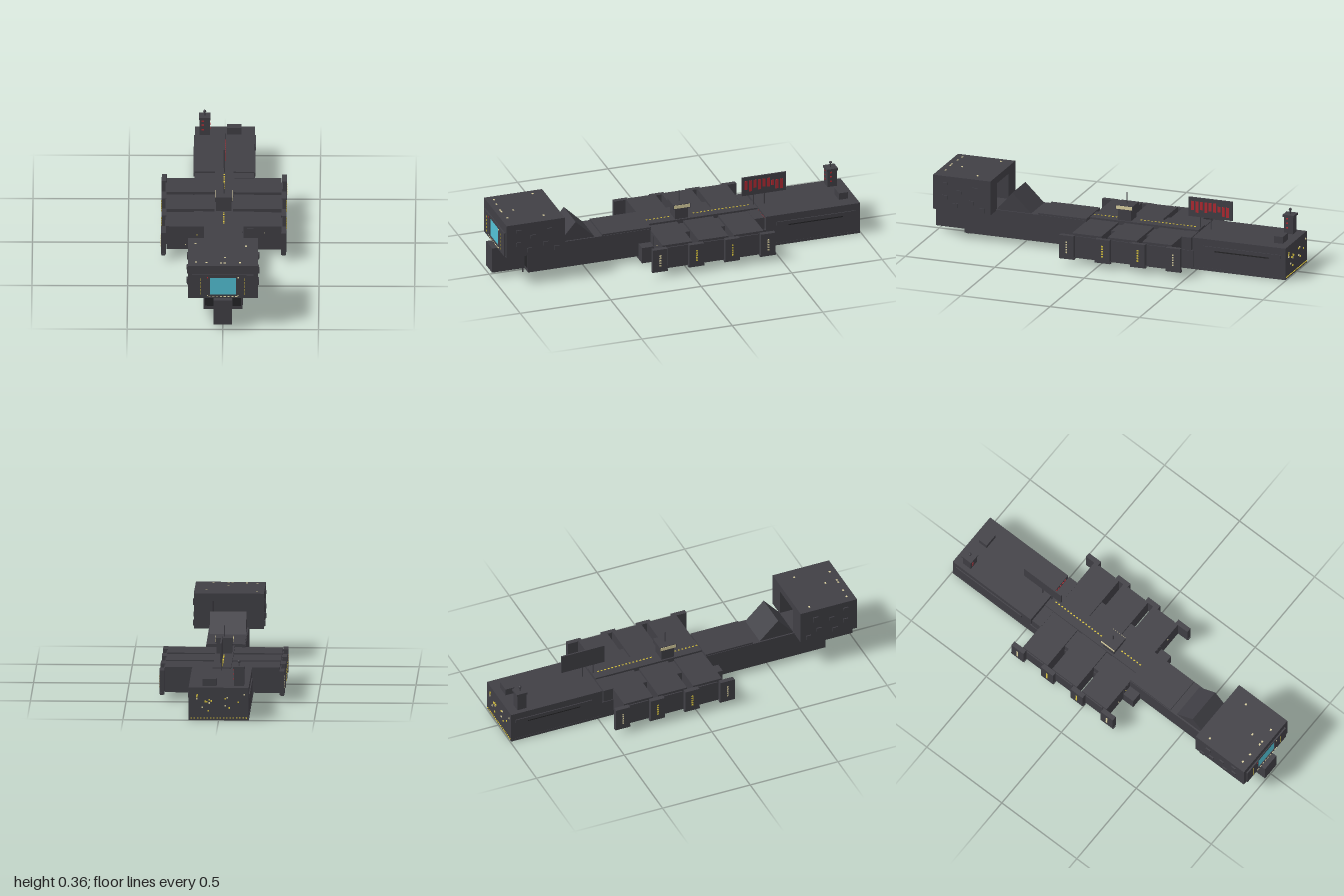
import * as THREE from 'three';

const mat = (name, color) => {
  const m = new THREE.MeshStandardMaterial({ color });
  m.name = name;
  return m;
};

export function createModel() {
  const hull = mat('hull grey', 0x403f45);
  const dark = mat('recess black', 0x242426);
  const cyan = mat('screen cyan', 0x52c0d4);
  const yellow = mat('light yellow', 0xd8c23c);
  const cream = mat('light cream', 0xd9cf9f);
  const red = mat('signal red', 0xb02a32);

  const model = new THREE.Group();
  model.name = 'station';
  const group = (name) => {
    const g = new THREE.Group();
    g.name = name;
    model.add(g);
    return g;
  };
  // Box given by its extents on each axis
  const box = (parent, name, m, [x0, x1], [y0, y1], [z0, z1]) => {
    const mesh = new THREE.Mesh(new THREE.BoxGeometry(x1 - x0, y1 - y0, z1 - z0), m);
    mesh.position.set((x0 + x1) / 2, (y0 + y1) / 2, (z0 + z1) / 2);
    mesh.name = name;
    parent.add(mesh);
    return mesh;
  };
  // Small light plate centred on a point
  const lamp = (parent, m, x, y, z, w = 0.006, h = 0.006, d = 0.006) =>
    box(parent, 'lamp', m, [x - w / 2, x + w / 2], [y - h / 2, y + h / 2], [z - d / 2, z + d / 2]);
  const rod = (parent, name, m, x, z, y0, y1, r = 0.003) => {
    const mesh = new THREE.Mesh(new THREE.CylinderGeometry(r, r, y1 - y0, 8), m);
    mesh.position.set(x, (y0 + y1) / 2, z);
    mesh.name = name;
    parent.add(mesh);
  };
  let seed = 7;
  const rnd = () => (seed = (seed * 16807) % 2147483647) / 2147483647;

  // Head: block with a hangar opening in the rear
  const head = group('head');
  const outline = new THREE.Shape([[-0.183, 0.175], [-0.085, 0.175], [-0.085, 0.315], [0.085, 0.315],
    [0.085, 0.175], [0.183, 0.175], [0.183, 0.355], [-0.183, 0.355]].map((p) => new THREE.Vector2(...p)));
  const shell = new THREE.Mesh(new THREE.ExtrudeGeometry(outline, { depth: 0.2, bevelEnabled: false }), hull);
  shell.position.z = 0.645;
  shell.name = 'hangarShell';
  head.add(shell);
  box(head, 'headFront', hull, [-0.183, 0.183], [0.172, 0.355], [0.84, 0.966]);
  box(head, 'hangarFloor', hull, [-0.183, 0.183], [0.168, 0.176], [0.645, 0.966]);
  box(head, 'screen', cyan, [-0.068, 0.068], [0.19, 0.288], [0.964, 0.969]);
  box(head, 'screenHeader', hull, [-0.07, 0.07], [0.288, 0.305], [0.96, 0.971]);
  box(head, 'screenSill', hull, [-0.07, 0.07], [0.172, 0.19], [0.96, 0.973]);
  for (let i = 0; i < 8; i++) lamp(head, cream, -0.07 + i * 0.02, 0.181, 0.973, 0.011, 0.003);
  for (const s of [-1, 1]) {
    box(head, 'cheekPanel', hull, [s * 0.115 - 0.046, s * 0.115 + 0.046], [0.173, 0.305], [0.96, 0.974]);
    for (let i = 0; i < 5; i++) lamp(head, yellow, s * 0.115, 0.197 + i * 0.0205, 0.974, 0.003, 0.011);
    lamp(head, s < 0 ? red : cream, s * 0.08, 0.29, 0.974, 0.007, 0.007);
    lamp(head, cream, s * 0.08, 0.187, 0.974, 0.004, 0.004);
    // Side greebles
    for (const [y, z, h] of [[0.19, 0.69, 0.026], [0.225, 0.75, 0.022], [0.295, 0.73, 0.03], [0.275, 0.82, 0.018],
      [0.2, 0.84, 0.024], [0.24, 0.9, 0.022], [0.315, 0.9, 0.014]])
      box(head, 'sideBlock', hull, [s * 0.185 - 0.004, s * 0.185 + 0.004], [y - h / 2, y + h / 2], [z - 0.014, z + 0.014]);
  }
  for (const [x, z] of [[-0.145, 0.71], [0.12, 0.74], [0.01, 0.87], [-0.14, 0.925], [-0.085, 0.93],
    [-0.01, 0.935], [0.01, 0.935], [0.09, 0.93]]) lamp(head, cream, x, 0.355, z, 0.011, 0.004, 0.009);

  // Snout and neck beneath the head
  const neck = group('neck');
  box(neck, 'snout', hull, [-0.048, 0.048], [0.03, 0.17], [0.8, 1]);
  box(neck, 'neckBeam', hull, [-0.103, 0.103], [0.028, 0.175], [0.14, 0.82]);
  box(neck, 'neckDeck', hull, [-0.1, 0.1], [0.17, 0.184], [0.14, 0.41]);
  for (const s of [-1, 1]) {
    box(neck, 'frontRecess', dark, [s * 0.072 - 0.023, s * 0.072 + 0.023], [0.048, 0.168], [0.816, 0.822]);
    rod(neck, 'strut', hull, s * 0.03, 0.825, 0, 0.035, 0.005);
  }
  const wedge = new THREE.Shape([[0.447, 0.172], [0.645, 0.172], [0.555, 0.277]].map(([z, y]) => new THREE.Vector2(-z, y)));
  const ramp = new THREE.Mesh(new THREE.ExtrudeGeometry(wedge, { depth: 0.19, bevelEnabled: false }), hull);
  ramp.rotation.y = Math.PI / 2;
  ramp.position.x = -0.095;
  ramp.name = 'ramp';
  neck.add(ramp);

  // Centre hull and spine
  const centre = group('centreHull');
  box(centre, 'lowerHull', hull, [-0.16, 0.16], [0.012, 0.1], [-0.48, 0.21]);
  box(centre, 'upperHull', hull, [-0.156, 0.156], [0.09, 0.155], [-0.465, 0.145]);
  box(centre, 'rearDeck', hull, [-0.156, 0.156], [0.1, 0.17], [-0.467, -0.41]);
  box(centre, 'spine', hull, [-0.048, 0.048], [0.1, 0.178], [-0.467, 0.145]);
  for (let z = -0.43; z < 0.14; z += 0.02)
    if (z < -0.11 || z > 0) lamp(centre, yellow, 0, 0.178, z, 0.007, 0.004, 0.009);

  // Three pairs of bays with end pylons between them
  const bays = group('bays');
  const bayZ = [-0.331, -0.137, 0.062];
  for (const z of bayZ) {
    box(bays, 'bay', hull, [-0.3, 0.3], [0.034, 0.168], [z - 0.082, z + 0.082]);
    for (const s of [-1, 1]) {
      lamp(bays, red, s * 0.301, 0.1, z + 0.025);
      box(bays, 'endPanel', hull, [s * 0.302 - 0.004, s * 0.302 + 0.004], [0.05, 0.155], [z - 0.055, z + 0.055]);
    }
  }
  lamp(bays, yellow, -0.14, 0.118, 0.145, 0.005, 0.003);
  lamp(bays, cream, 0.212, 0.13, 0.145, 0.004, 0.004);
  lamp(bays, cream, -0.2, 0.063, 0.145, 0.004, 0.004);
  [-0.43, -0.233, -0.035, 0.166].forEach((z, i) => {
    for (const s of [-1, 1]) {
      box(bays, 'pylon', hull, [s * 0.314 - 0.013, s * 0.314 + 0.013], [0.034, 0.16], [z - 0.04, z + 0.04]);
      box(bays, 'pylonFoot', hull, [s * 0.315 - 0.009, s * 0.315 + 0.009], [0.03, 0.042], [z - 0.043, z + 0.043]);
      for (let k = 0; k < 5; k++)
        lamp(bays, i % 3 ? yellow : cream, s * 0.327, 0.068 + k * 0.014, z, 0.005, 0.008, 0.009);
    }
  });

  // Control tower
  const tower = group('controlTower');
  box(tower, 'towerBase', hull, [-0.04, 0.04], [0.17, 0.24], [-0.086, -0.014]);
  box(tower, 'towerCap', hull, [-0.045, 0.045], [0.237, 0.262], [-0.098, -0.002]);
  for (const s of [-1, 1])
    box(tower, 'towerWindow', cream, [s * 0.045 - 0.002, s * 0.045 + 0.002], [0.241, 0.259], [-0.094, -0.006]);
  rod(tower, 'antenna', hull, 0, -0.05, 0.26, 0.322);

  // Billboard with red bars
  const board = group('billboard');
  box(board, 'panel', hull, [-0.004, 0.004], [0.235, 0.34], [-0.64, -0.395]);
  for (const z of [-0.46, -0.52]) rod(board, 'post', hull, 0, z, 0.17, 0.24);
  [0.05, 0.062, 0.045, 0.058, 0.046, 0.05, 0.03, 0.052, 0.055].forEach((h, i) => {
    const z = -0.418 - i * 0.0245;
    const top = i < 6 ? 0.32 : 0.305;
    box(board, 'bar', red, [0.003, 0.006], [top - h, top], [z - 0.008, z + 0.008]);
  });

  // Rear block
  const rear = group('rearBlock');
  box(rear, 'rearHull', hull, [-0.157, 0.157], [0.004, 0.173], [-0.995, -0.475]);
  box(rear, 'rearKeel', hull, [-0.158, 0.158], [0, 0.014], [-0.995, -0.34]);
  for (const s of [-1, 1]) {
    box(rear, 'sideRail', hull, [s * 0.158 - 0.004, s * 0.158 + 0.004], [0.115, 0.135], [-0.97, -0.535]);
    box(rear, 'sideSlot', dark, [s * 0.157 - 0.002, s * 0.157 + 0.002], [0.107, 0.113], [-0.9, -0.6]);
  }
  lamp(rear, red, -0.135, 0.01, -0.34, 0.012, 0.004);
  for (let i = 0; i < 18; i++) lamp(rear, yellow, -0.145 + i * 0.017, 0.012, -0.996, 0.008, 0.005);
  for (let i = 0; i < 16; i++)
    lamp(rear, i % 3 ? yellow : cream, (rnd() - 0.5) * 0.27, 0.045 + rnd() * 0.1, -0.996, 0.008, 0.008);
  for (let i = 0; i < 6; i++)
    lamp(rear, red, 0.04 + i * 0.018, 0.155, -0.475, 0.01, 0.012);

  // Rear chimney and low hatch house
  box(rear, 'chimney', hull, [-0.131, -0.078], [0.17, 0.268], [-0.948, -0.896]);
  box(rear, 'chimneyCap', hull, [-0.135, -0.074], [0.264, 0.276], [-0.953, -0.891]);
  rod(rear, 'chimneyMast', hull, -0.105, -0.922, 0.27, 0.3);
  const ball = new THREE.Mesh(new THREE.SphereGeometry(0.008, 10, 8), hull);
  ball.position.set(-0.105, 0.3, -0.922);
  ball.name = 'mastBall';
  rear.add(ball);
  for (const y of [0.205, 0.23, 0.255]) {
    lamp(rear, red, -0.115, y, -0.896, 0.012, 0.008, 0.004);
    lamp(rear, red, -0.078, y, -0.915, 0.004, 0.008, 0.012);
  }
  box(rear, 'hatchHouse', hull, [0.012, 0.086], [0.17, 0.21], [-0.953, -0.903]);
  return model;
}
